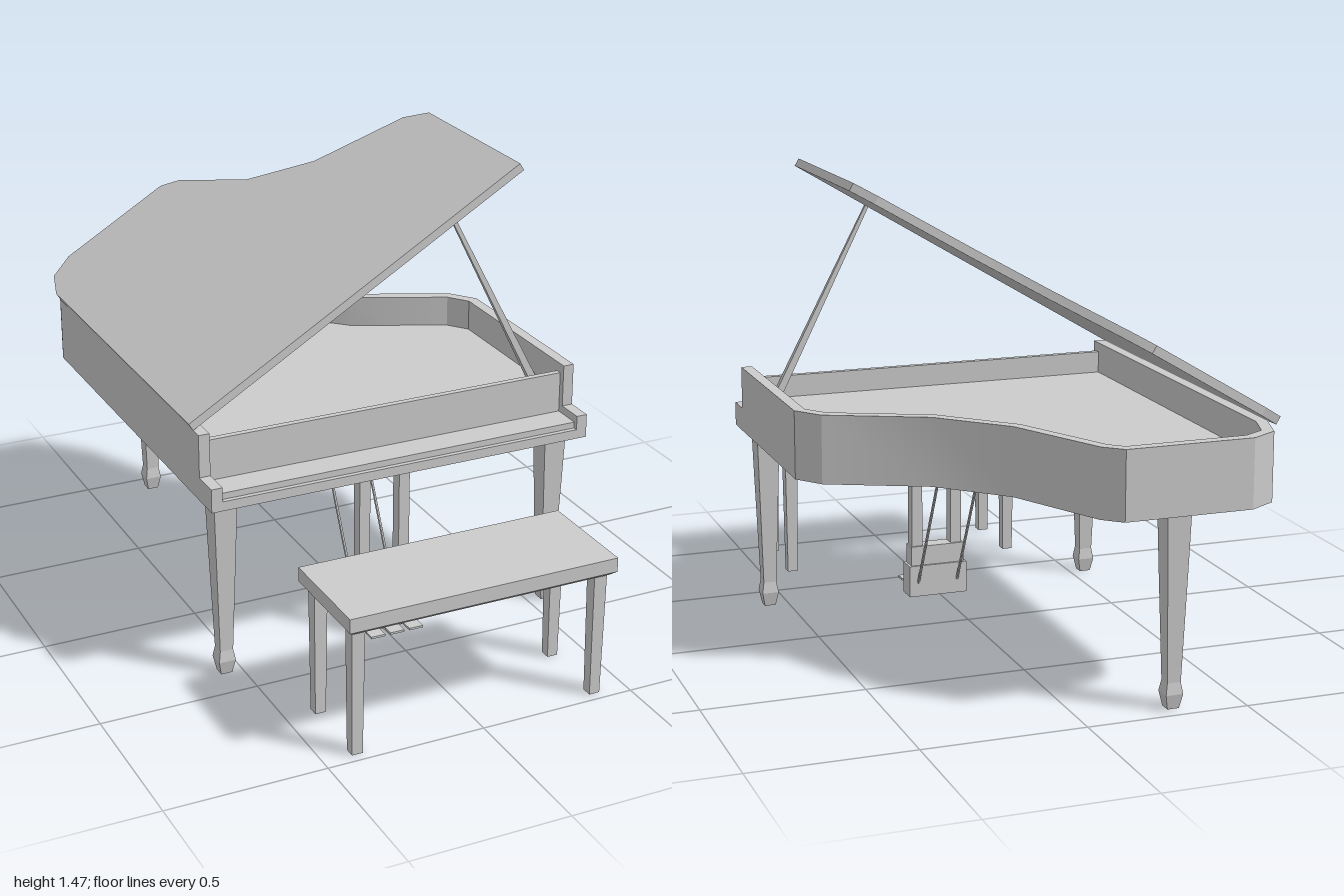
import * as THREE from 'three';
import { toCreasedNormals } from 'three/addons/utils/BufferGeometryUtils.js';

const smooth = new THREE.MeshStandardMaterial({ color: 0xcccccc });
const flat = new THREE.MeshStandardMaterial({ color: 0xcccccc, flatShading: true });

// Bent side and tail of the case as [x, z], from the right front round to the left front
const curve = [
  [0.635, -0.25], [0.575, -0.33], [0.28, -0.465], [0.095, -0.65], [-0.05, -0.95],
  [-0.105, -1], [-0.5, -1], [-0.585, -0.95], [-0.622, -0.835],
];
const outline = (front) => [[0.635, front], ...curve, [-0.622, front]];

// Mitred inward offset of an open path
function inset(path, d) {
  const normal = (a, b) => new THREE.Vector2(b[1] - a[1], a[0] - b[0]).normalize();
  return path.map((p, i) => {
    const n1 = normal(path[Math.max(i - 1, 0)], path[Math.max(i, 1)]);
    const last = path.length - 1;
    const n2 = normal(path[Math.min(i, last - 1)], path[Math.min(i + 1, last)]);
    const k = d / (1 + n1.dot(n2));
    return [p[0] + (n1.x + n2.x) * k, p[1] + (n1.y + n2.y) * k];
  });
}

// Horizontal slab between two heights
function slab(points, y0, y1) {
  const shape = new THREE.Shape(points.map(([x, z]) => new THREE.Vector2(x, -z)));
  const geo = new THREE.ExtrudeGeometry(shape, { depth: y1 - y0, bevelEnabled: false });
  geo.rotateX(-Math.PI / 2).translate(0, y0, 0);
  return toCreasedNormals(geo, 0.43);
}

export function createModel() {
  const model = new THREE.Group();

  function add(parent, name, geo, material = flat) {
    const mesh = new THREE.Mesh(geo, material);
    mesh.name = name;
    parent.add(mesh);
    return mesh;
  }
  function box(parent, name, [x0, x1], [y0, y1], [z0, z1]) {
    const geo = new THREE.BoxGeometry(x1 - x0, y1 - y0, z1 - z0);
    geo.translate((x0 + x1) / 2, (y0 + y1) / 2, (z0 + z1) / 2);
    return add(parent, name, geo);
  }
  // Square-section post from [half width, y] pairs
  function squarePost(parent, name, profile, x, z) {
    const pts = profile.map(([r, y]) => new THREE.Vector2(r * Math.SQRT2, y));
    const geo = new THREE.LatheGeometry(pts, 4, Math.PI / 4);
    add(parent, name, geo).position.set(x, 0, z);
  }
  // Straight bar between two points
  function bar(parent, name, from, to, r0, r1, sides) {
    const a = new THREE.Vector3(...from), b = new THREE.Vector3(...to);
    const dir = b.clone().sub(a);
    const geo = new THREE.CylinderGeometry(r1, r0, dir.length(), sides);
    geo.rotateY(Math.PI / sides);
    const mesh = add(parent, name, geo);
    mesh.position.copy(a).add(b).multiplyScalar(0.5);
    mesh.quaternion.setFromUnitVectors(new THREE.Vector3(0, 1, 0), dir.normalize());
  }

  // Case: rim wall, soundboard and front panel
  const body = new THREE.Group();
  body.name = 'case';
  model.add(body);
  const rim = outline(0.38);
  add(body, 'rim', slab([...rim, ...inset(rim, 0.035).reverse()], 0.59, 0.8), smooth);
  add(body, 'soundboard', slab(inset(outline(0.36), 0.035), 0.59, 0.7), smooth);
  box(body, 'frontPanel', [-0.587, 0.6], [0.62, 0.77], [0.34, 0.36]);

  // Keyboard shelf with end cheeks
  box(body, 'keybed', [-0.622, 0.635], [0.59, 0.62], [0.36, 0.47]);
  box(body, 'keyCover', [-0.587, 0.6], [0.62, 0.64], [0.36, 0.455]);
  box(body, 'cheekRight', [-0.622, -0.587], [0.62, 0.665], [0.38, 0.47]);
  box(body, 'cheekLeft', [0.6, 0.635], [0.62, 0.665], [0.38, 0.47]);

  // Open lid, hinged along the straight side, with its prop
  const lidGeo = slab(outline(0.34), 0, 0.026);
  lidGeo.translate(0.622, 0, 0);
  const lid = add(model, 'lid', lidGeo, smooth);
  lid.position.set(-0.622, 0.8, 0);
  lid.rotation.z = THREE.MathUtils.degToRad(30.8);
  bar(model, 'lidProp', [0.59, 0.695, 0.2], [0.267, 1.327, 0.2], 0.017, 0.008, 4);

  // Tapered legs with flared feet
  const legProfile = [[0, 0], [0.018, 0], [0.027, 0.045], [0.021, 0.08], [0.032, 0.42], [0.037, 0.59], [0, 0.59]];
  for (const [name, x, z] of [['frontLegRight', -0.553, 0.372], ['frontLegLeft', 0.562, 0.372], ['backLeg', -0.287, -0.932]]) {
    squarePost(model, name, legProfile, x, z);
  }

  // Pedal lyre
  const lyre = new THREE.Group();
  lyre.name = 'pedalLyre';
  model.add(lyre);
  box(lyre, 'pedalBox', [-0.093, 0.105], [0, 0.105], [0.278, 0.345]);
  box(lyre, 'pedalBoxTop', [-0.085, 0.097], [0.105, 0.17], [0.285, 0.338]);
  for (const x of [-0.061, 0.074]) {
    box(lyre, 'lyrePost', [x - 0.018, x + 0.018], [0.17, 0.59], [0.292, 0.333]);
    bar(lyre, 'braceRod', [x, 0.045, 0.282], [x, 0.592, 0.005], 0.005, 0.005, 6);
  }
  for (const x of [-0.06, 0.006, 0.072]) {
    box(lyre, 'pedal', [x - 0.012, x + 0.012], [0.024, 0.031], [0.345, 0.39]);
    box(lyre, 'pedalPlate', [x - 0.024, x + 0.024], [0.024, 0.031], [0.39, 0.43]);
  }

  // Bench: seat with chamfered underside and four legs
  const bench = new THREE.Group();
  bench.name = 'bench';
  model.add(bench);
  box(bench, 'seat', [-0.432, 0.432], [0.415, 0.46], [0.655, 1]);
  const under = new THREE.BoxGeometry(0.864, 0.015, 0.345);
  const pos = under.attributes.position;
  for (let i = 0; i < pos.count; i++) {
    if (pos.getY(i) > 0) continue;
    pos.setX(i, pos.getX(i) - Math.sign(pos.getX(i)) * 0.018);
    pos.setZ(i, pos.getZ(i) - Math.sign(pos.getZ(i)) * 0.018);
  }
  add(bench, 'seatUnderside', under).position.set(0, 0.4075, 0.8275);
  const benchLeg = [[0, 0], [0.017, 0], [0.021, 0.4], [0, 0.4]];
  for (const x of [-0.393, 0.393]) {
    for (const z of [0.704, 0.952]) squarePost(bench, 'benchLeg', benchLeg, x, z);
  }

  return model;
}
